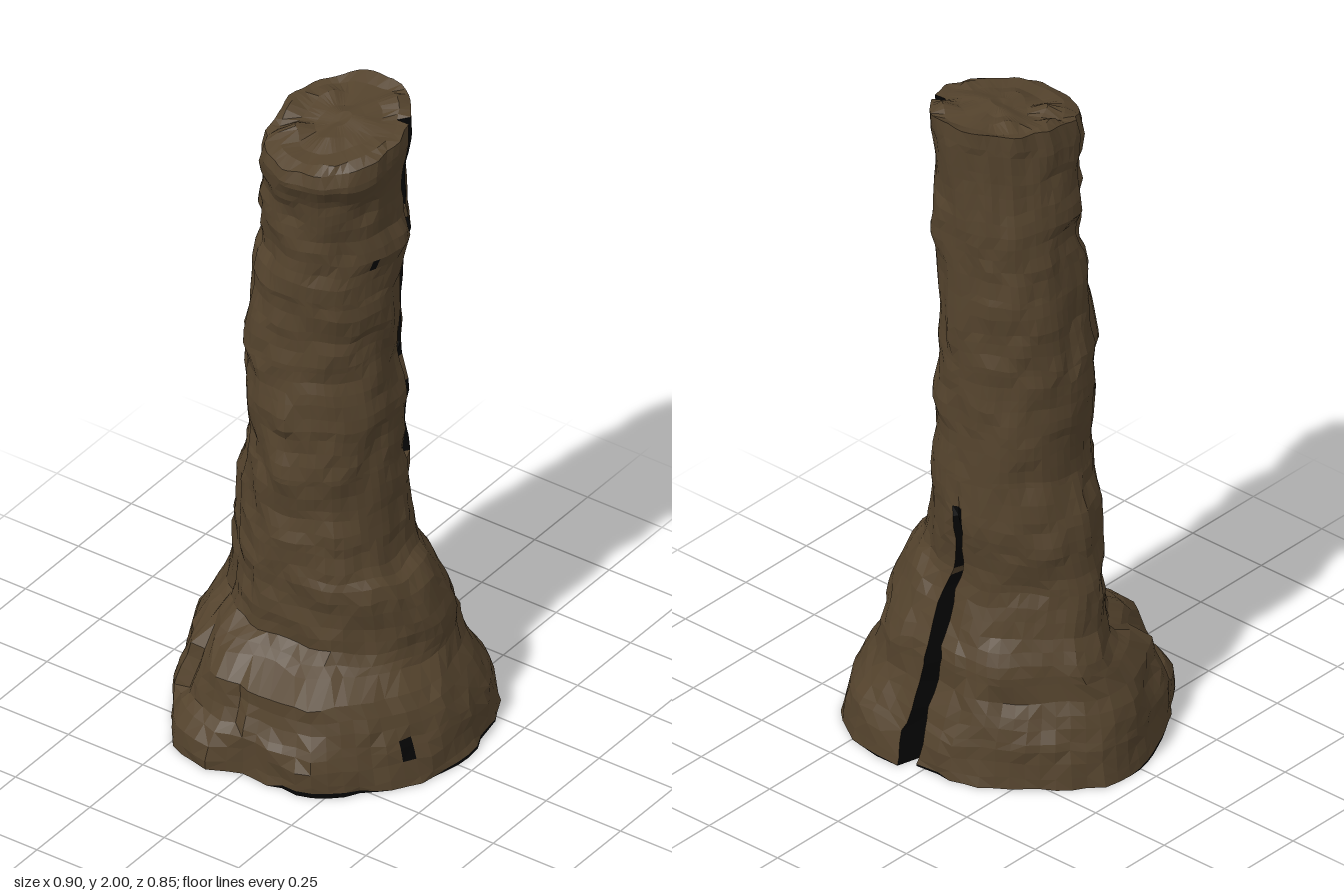
import * as THREE from 'three';

const COLS = 60, ROWS = 54, TOP = 1.95;
const RIGHT_CRACK = 55, BACK_NOTCH = 46, FRONT_GROOVE = 24;

// Outline by height: y, left x, right x, back z, front z
const LEVELS = [
  [0, -.455, .45, -.43, .425], [.1, -.435, .43, -.415, .415], [.2, -.405, .39, -.365, .375],
  [.26, -.38, .35, -.345, .365], [.29, -.37, .335, -.345, .295], [.31, -.37, .33, -.345, .275],
  [.34, -.355, .33, -.34, .225], [.42, -.33, .32, -.305, .215],
  [.5, -.32, .305, -.275, .215], [.54, -.31, .285, -.255, .22], [.58, -.30, .245, -.25, .22],
  [.7, -.29, .22, -.265, .20], [.8, -.27, .21, -.265, .20], [.9, -.24, .20, -.26, .20],
  [1, -.235, .195, -.25, .18], [1.06, -.235, .21, -.25, .18], [1.2, -.235, .18, -.24, .17],
  [1.4, -.21, .19, -.245, .16], [1.5, -.20, .185, -.24, .175], [1.57, -.19, .20, -.24, .145],
  [1.61, -.19, .215, -.24, .145], [1.66, -.188, .19, -.24, .16], [1.8, -.17, .20, -.23, .165],
  [1.9, -.16, .22, -.235, .20], [1.95, -.145, .22, -.235, .185],
];
// Radius of the foot every 15 degrees, from +x towards +z
const FOOT = [.455, .44, .43, .415, .425, .395, .395, .435, .44, .42, .415, .42,
  .45, .455, .42, .405, .40, .405, .39, .445, .48, .49, .48, .465];

function extents(y) {
  let i = 0;
  while (i < LEVELS.length - 2 && LEVELS[i + 1][0] < y) i++;
  const a = LEVELS[i], b = LEVELS[i + 1], t = (y - a[0]) / (b[0] - a[0]);
  return a.slice(1).map((v, k) => v + (b[k + 1] - v) * t);
}

function footRadius(col) {
  const f = col / COLS * FOOT.length, i = Math.floor(f);
  return THREE.MathUtils.lerp(FOOT[i % FOOT.length], FOOT[(i + 1) % FOOT.length], f - i);
}

// Repeatable value noise, -1 to 1
function hash(x, y, z) {
  const s = Math.sin(x * 127.1 + y * 311.7 + z * 74.7) * 43758.5453;
  return (s - Math.floor(s)) * 2 - 1;
}
function noise(x, y, z) {
  const f = [x, y, z].map(Math.floor), w = [x - f[0], y - f[1], z - f[2]].map(t => t * t * (3 - 2 * t));
  let sum = 0;
  for (let c = 0; c < 8; c++) {
    const d = [c & 1, (c >> 1) & 1, c >> 2];
    sum += hash(f[0] + d[0], f[1] + d[1], f[2] + d[2]) *
      d.reduce((p, on, k) => p * (on ? w[k] : 1 - w[k]), 1);
  }
  return sum;
}
const smooth = THREE.MathUtils.smoothstep;
// Rises from 0 to 1 between a and b, falls back between c and d
const band = (y, a, b, c, d) => smooth(y, a, b) * (1 - smooth(y, c, d));

// Where the two fissures open into darkness
const rightOpen = y => (y > .82 && y < 1.08) || (y > 1.17 && y < 1.46) || (y > 1.5 && y < 1.62) || y > 1.66;
const backOpen = y => y < .53 || (y > .58 && y < .8);

// One point of the weathered wall
function wallPoint(row, c) {
  const edge = row === 0 || row === ROWS;
  let y = TOP * row / ROWS + (edge ? 0 : .012 * hash(row, 5, 0));
  const [l, r, b, f] = extents(y);
  const cx = (l + r) / 2, cz = (b + f) / 2;
  // Columns beside a fissure close in on it, with a ragged lip
  let turn = c;
  for (const [crack, close] of [[RIGHT_CRACK, .15], [BACK_NOTCH, .5]])
    if (Math.abs(c - crack) === 1) turn += (crack - c) * (close + .2 * hash(row, c, 8));
  const ang = turn / COLS * Math.PI * 2, ux = Math.cos(ang), uz = Math.sin(ang);
  const foot = 1 - smooth(y, .3, .75);
  const frontLeft = uz > 0 ? Math.max(0, -2 * ux * uz) : 0;
  // Irregular boulders at the foot, a flattened front left flank, squared corners higher up
  const k = 1 + foot * (footRadius(c) / Math.hypot(ux * .45, uz * .425) - 1)
    - .12 * frontLeft * band(y, .25, .4, .8, 1.1)
    + .07 * Math.max(0, -ux * uz) * smooth(y, 1, 1.3);
  let px = cx + ux * (r - l) / 2 * k, pz = cz + uz * (f - b) / 2 * k;
  // Broad lumps, uneven horizontal strata on the front, and fine chips
  const strata = smooth(uz, -.3, .4);
  let d = .011 * noise(px * 7 + 3, y * 5, pz * 7)
    + .012 * strata * noise(px * 8, y * 16 + px * 5, pz * 8 + 9)
    + .009 * noise(px * 22, y * 16 + 4, pz * 22);
  // Low slab at the front left
  if (c > 15 && c < 23) d -= .035 * band(y, .09, .14, .26, .32);
  if (c === FRONT_GROOVE && y > .3) d -= .009;
  if (c === RIGHT_CRACK && y > .78) d -= rightOpen(y) ? .07 : .02;
  if (c === BACK_NOTCH) d -= .13 * (1 - smooth(y, .15, .9));
  px += ux * d;
  pz += uz * d;
  // Uneven edges, and a rim that rises to the back
  if (!edge) y += .014 * noise(px * 12, y * 8, pz * 12 + 5);
  y += (-.17 * pz + .008 * noise(px * 14, 3, pz * 14)) * smooth(y, 1.65, TOP);
  // The foot lifts slightly off the ground in places
  if (row === 0) y = Math.max(0, .02 * noise(px * 6, 2, pz * 6));
  return new THREE.Vector3(px, Math.min(y, 2), pz);
}

function surface(tris, name, material) {
  const g = new THREE.BufferGeometry().setFromPoints(tris);
  g.computeVertexNormals();
  const mesh = new THREE.Mesh(g, material);
  mesh.name = name;
  return mesh;
}

export function createModel() {
  const stone = new THREE.MeshStandardMaterial({ color: 0x54432d, flatShading: true });
  stone.name = 'brown stone';
  const dark = new THREE.MeshStandardMaterial({ color: 0x050505, flatShading: true });
  dark.name = 'dark hollow';

  const grid = [];
  for (let i = 0; i <= ROWS; i++) grid.push(Array.from({ length: COLS }, (_, j) => wallPoint(i, j)));

  const wall = [], cracks = [], cap = [], base = [];
  const quad = (list, a, b, c, d, flip) => flip ? list.push(a, b, c, b, d, c) : list.push(a, b, d, a, d, c);

  // Wall, with the fissures and two small holes on the right kept apart
  for (let i = 0; i < ROWS; i++) for (let j = 0; j < COLS; j++) {
    const n = (j + 1) % COLS, y = TOP * (i + .5) / ROWS;
    const touches = col => j === col || n === col;
    const open = (touches(RIGHT_CRACK) && rightOpen(y)) || (touches(BACK_NOTCH) && backOpen(y))
      || (j === 3 && (i === 2 || i === 3 || i === 43));
    quad(open ? cracks : wall, grid[i][n], grid[i][j], grid[i + 1][n], grid[i + 1][j], hash(i, j, 2) > 0);
  }

  // Rough summit, closed by shrinking rings that lose the notches of the rim
  const centre = new THREE.Vector3(.035, 1.965, -.025);
  let outer = grid[ROWS];
  for (const s of [.88, .62, .36, .15]) {
    const inner = outer.map((_, j) => {
      const a = j / COLS * Math.PI * 2, q = new THREE.Vector3();
      q.x = centre.x + Math.cos(a) * .18 * s;
      q.z = centre.z + Math.sin(a) * .205 * s;
      q.x += .008 * noise(q.x * 25, 1, q.z * 25);
      q.z += .008 * noise(q.x * 25, 9, q.z * 25);
      q.y = Math.min(2, 1.958 - .17 * q.z + .016 * noise(q.x * 18, 7, q.z * 18));
      return q;
    });
    for (let j = 0; j < COLS; j++) {
      const n = (j + 1) % COLS;
      quad(cap, outer[n], outer[j], inner[n], inner[j], hash(j, s, 4) > 0);
    }
    outer = inner;
  }
  for (let j = 0; j < COLS; j++) cap.push(outer[(j + 1) % COLS], outer[j], centre);

  // Underside, with a thin shadow gap up to the lifted edge
  const origin = new THREE.Vector3(), ground = grid[0].map(p => new THREE.Vector3(p.x, 0, p.z));
  for (let j = 0; j < COLS; j++) {
    const n = (j + 1) % COLS;
    base.push(ground[j], ground[n], origin);
    quad(base, ground[n], ground[j], grid[0][n], grid[0][j], false);
  }

  const group = new THREE.Group();
  group.name = 'rockPillar';
  group.add(
    surface(wall, 'pillarWall', stone),
    surface(cap, 'summit', stone),
    surface(cracks, 'fissures', dark),
    surface(base, 'underside', dark),
  );
  return group;
}
